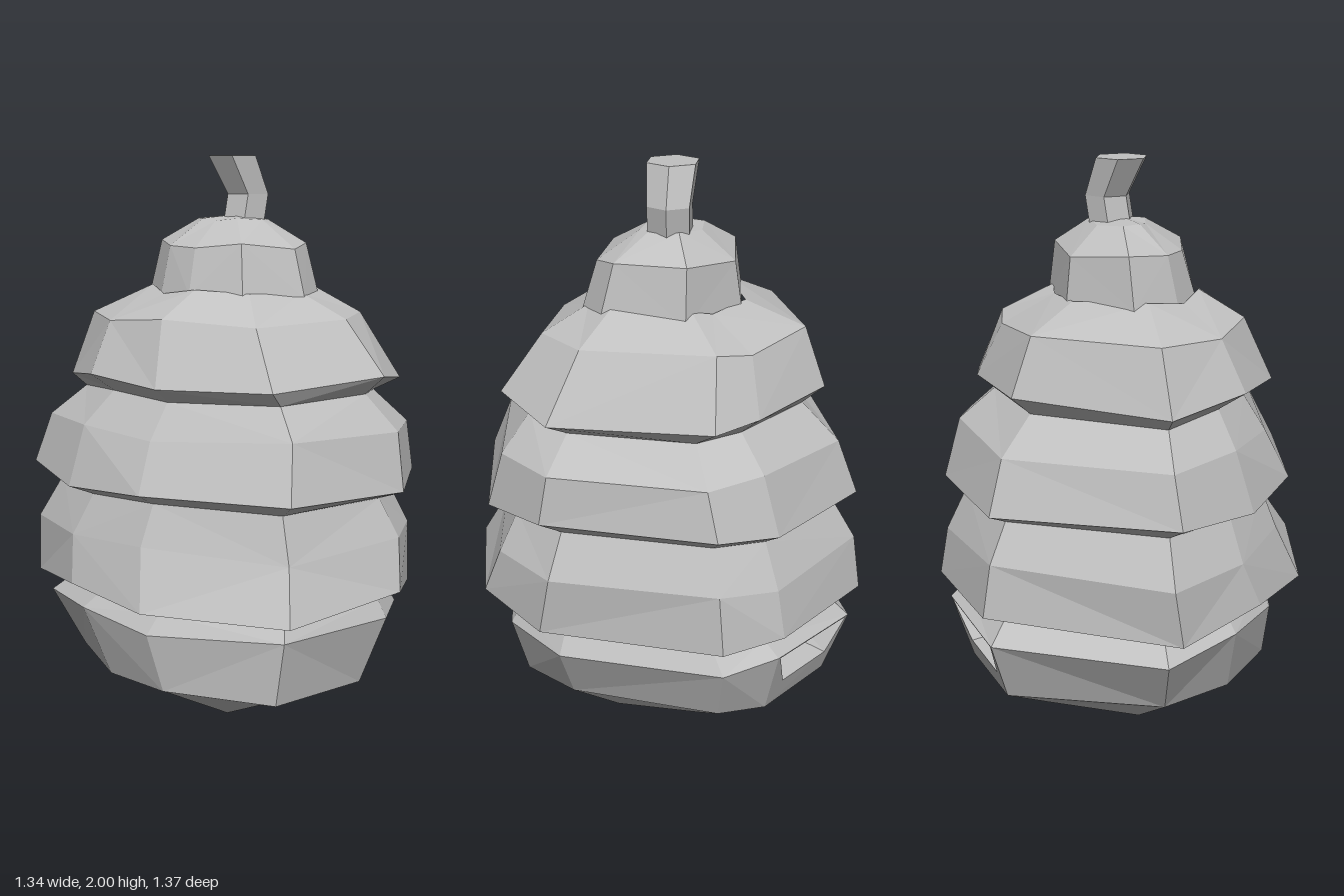
import * as THREE from 'three';

// Irregular outlines (x, z), running from +x towards +z
const BODY = [
  [0.67, 0], [0.61, 0.31], [0.22, 0.69], [-0.27, 0.49], [-0.52, 0.21],
  [-0.67, -0.14], [-0.24, -0.68], [0.23, -0.69], [0.42, -0.58],
];
const UPPER = [
  [0.62, -0.01], [0.54, 0.26], [0.165, 0.475], [-0.215, 0.39], [-0.44, 0.18],
  [-0.53, -0.12], [-0.18, -0.535], [0.19, -0.535], [0.35, -0.48],
];
const CAP = [
  [0.33, 0], [0.28, 0.12], [0.07, 0.21], [-0.11, 0.14],
  [-0.21, 0.04], [-0.25, -0.13], [-0.04, -0.28], [0.22, -0.25],
];

// Outline fitted to a box in x and z at height y, with a slight wobble in height
function ring(outline, y, x0, x1, z0, z1, wobble = 0.012) {
  const fit = (k, lo, hi) => {
    const values = outline.map((p) => p[k]);
    const min = Math.min(...values), max = Math.max(...values);
    return values.map((v) => THREE.MathUtils.mapLinear(v, min, max, lo, hi));
  };
  const xs = fit(0, x0, x1), zs = fit(1, z0, z1);
  return xs.map((x, i) => new THREE.Vector3(x, y + wobble * Math.sin(i * 2.4 + y * 9), zs[i]));
}

const tri = (out, ...pts) => pts.forEach((p) => out.push(p.x, p.y, p.z));

// Corners run counter-clockwise seen from outside; the diagonal may alternate
function quad(out, a, b, c, d, flip = false) {
  if (flip) { tri(out, a, b, d); tri(out, b, c, d); }
  else { tri(out, a, b, c); tri(out, a, c, d); }
}

// A wall panel with a sunken opening under its top edge and a floor rising inwards
function pocket(out, a, b, c, d) {
  const at = (u, v) => a.clone().lerp(b, u).lerp(d.clone().lerp(c, u), v);
  const rim = [at(0.03, 0.02), at(0.97, 0.02), at(0.8, 0.62), at(0.12, 0.62)];
  const corners = [a, b, c, d];
  const back = rim.map((p, i) => new THREE.Vector3(
    p.x * 0.75, p.y + (i > 1 ? 0.05 : 0), p.z * 0.62));
  for (let i = 0; i < 4; i++) {
    const j = (i + 1) % 4;
    quad(out, corners[i], corners[j], rim[j], rim[i]);
    quad(out, rim[i], rim[j], back[j], back[i]);
  }
  quad(out, ...back);
}

// Skin a stack of rings listed from top to bottom
function loft(rings, { topPoint, bottomPoint, hole } = {}) {
  const out = [];
  const n = rings[0].length;
  for (let r = 0; r < rings.length - 1; r++) {
    const a = rings[r], b = rings[r + 1];
    for (let i = 0; i < n; i++) {
      const j = (i + 1) % n;
      if (hole && hole[0] === r && hole[1] === i) pocket(out, a[i], a[j], b[j], b[i]);
      else quad(out, a[i], a[j], b[j], b[i], (i + r) % 2 === 0);
    }
  }
  const first = rings[0], last = rings[rings.length - 1];
  for (let i = 0; i < n; i++) {
    const j = (i + 1) % n;
    if (topPoint) tri(out, topPoint, first[j], first[i]);
    if (bottomPoint) tri(out, bottomPoint, last[i], last[j]);
  }
  const geometry = new THREE.BufferGeometry();
  geometry.setAttribute('position', new THREE.Float32BufferAttribute(out, 3));
  geometry.computeVertexNormals();
  return geometry;
}

export function createModel() {
  const group = new THREE.Group();
  const grey = new THREE.MeshStandardMaterial({ color: 0xc0c0c0 });
  grey.name = 'hive grey';
  const add = (name, geometry) => {
    const mesh = new THREE.Mesh(geometry, grey);
    mesh.name = name;
    group.add(mesh);
  };

  // Bent hexagonal stalk
  const hex = (y, cx, cz, r) => Array.from({ length: 6 }, (_, i) => {
    const t = i * Math.PI / 3 + Math.PI / 6;
    return new THREE.Vector3(cx + r * Math.cos(t), y, cz + r * Math.sin(t));
  });
  add('stalk', loft(
    [hex(2, 0.035, -0.06, 0.092), hex(1.87, 0.09, -0.09, 0.08), hex(1.77, 0.075, -0.08, 0.08)],
    { topPoint: new THREE.Vector3(0.035, 2, -0.06) },
  ));

  // Domed cap
  add('cap', loft([
    ring(CAP, 1.785, -0.08, 0.16, -0.16, 0.03, 0.005),
    ring(CAP, 1.7, -0.21, 0.29, -0.27, 0.17),
    ring(CAP, 1.53, -0.25, 0.33, -0.29, 0.22),
  ], { topPoint: new THREE.Vector3(0.05, 1.8, -0.06) }));

  // Seams shared by neighbouring tiers
  const seamA = ring(BODY, 1.205, -0.48, 0.53, -0.47, 0.43, 0.008);
  const seamB = ring(BODY, 0.863, -0.57, 0.585, -0.58, 0.51, 0.008);
  const seamC = ring(BODY, 0.5, -0.545, 0.585, -0.59, 0.515, 0.008);

  // Overhanging tiers: top edge, shoulder, rim, tucked-in underside
  add('upperTier', loft([
    ring(UPPER, 1.55, -0.24, 0.31, -0.28, 0.21),
    ring(UPPER, 1.46, -0.45, 0.48, -0.46, 0.36),
    ring(UPPER, 1.26, -0.53, 0.62, -0.535, 0.475, 0.02),
    seamA,
  ]));
  add('middleTier', loft([
    seamA,
    ring(BODY, 1.09, -0.61, 0.65, -0.59, 0.52),
    ring(BODY, 0.905, -0.67, 0.67, -0.65, 0.62, 0.016),
    seamB,
  ]));
  add('lowerTier', loft([
    seamB,
    ring(BODY, 0.72, -0.66, 0.66, -0.65, 0.57),
    ring(BODY, 0.54, -0.66, 0.66, -0.68, 0.69, 0.02),
    seamC,
  ]));

  // Rounded base with the entrance hole at the back
  add('base', loft([
    seamC,
    ring(BODY, 0.44, -0.62, 0.62, -0.65, 0.56, 0.015),
    ring(BODY, 0.23, -0.5, 0.52, -0.58, 0.55),
    ring(BODY, 0.13, -0.33, 0.37, -0.4, 0.22, 0.015),
  ], { bottomPoint: new THREE.Vector3(0.02, 0, -0.05), hole: [1, 6] }));

  return group;
}
